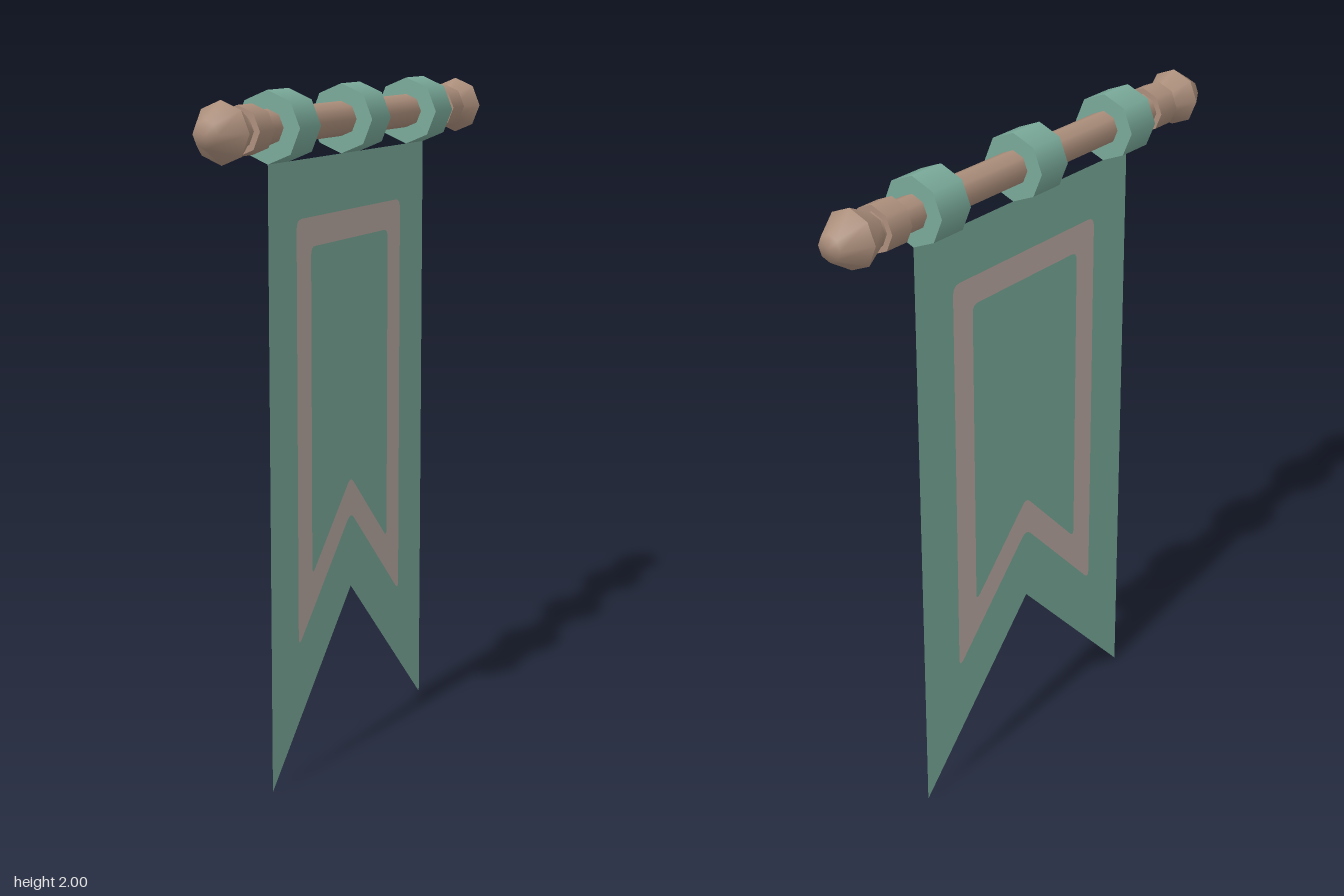
import * as THREE from 'three';

const green = new THREE.MeshStandardMaterial({ color: 0x79a999, side: THREE.DoubleSide });
green.name = 'green cloth';
const rose = new THREE.MeshStandardMaterial({ color: 0xb8a8a0, side: THREE.DoubleSide });
rose.name = 'pale trim';
const wood = new THREE.MeshStandardMaterial({ color: 0xab8e7b });
wood.name = 'brown wood';

const SIDES = 8;
const POLE_Y = 1.9;

// Swallow-tailed outline with softly rounded corners
function tailShape(half, top, tip, notch, r = 0) {
  const pts = [[-half, top], [-half, tip], [0, notch], [half, tip], [half, top]]
    .map(([x, y]) => new THREE.Vector2(x, y));
  if (!r) return new THREE.Shape(pts);
  const shape = new THREE.Shape();
  pts.forEach((p, i) => {
    const prev = pts[(i + pts.length - 1) % pts.length];
    const next = pts[(i + 1) % pts.length];
    const a = p.clone().add(prev.clone().sub(p).setLength(r));
    const b = p.clone().add(next.clone().sub(p).setLength(r));
    if (i === 0) shape.moveTo(a.x, a.y);
    else shape.lineTo(a.x, a.y);
    shape.quadraticCurveTo(p.x, p.y, b.x, b.y);
  });
  shape.closePath();
  return shape;
}

export function createModel() {
  const model = new THREE.Group();
  model.name = 'hangingBanner';

  const add = (parent, name, geometry, material) => {
    const mesh = new THREE.Mesh(geometry, material);
    mesh.name = name;
    parent.add(mesh);
    return mesh;
  };

  // Flat cloth in the x = 0 plane: border, trim band and centre fit together edge to edge
  const trimOuter = () => tailShape(0.33, 1.635, 0.39, 0.72, 0.03);
  const trimInner = () => tailShape(0.245, 1.55, 0.585, 0.83, 0.025);
  const border = tailShape(0.49, 1.8, 0, 0.49);
  border.holes.push(trimOuter());
  const band = trimOuter();
  band.holes.push(trimInner());
  const flat = (shape) => new THREE.ShapeGeometry(shape, 4).rotateY(Math.PI / 2);
  add(model, 'clothBorder', flat(border), green);
  add(model, 'clothTrim', flat(band), rose);
  add(model, 'clothCentre', flat(trimInner()), green);

  // Pole and everything threaded on it, running along z
  const rod = (r, length) => new THREE.CylinderGeometry(r, r, length, SIDES).rotateX(Math.PI / 2);
  const rail = new THREE.Group();
  rail.name = 'rail';
  rail.position.y = POLE_Y;
  model.add(rail);
  add(rail, 'pole', rod(0.05, 1.32), wood);
  for (const z of [-0.43, 0, 0.43]) {
    add(rail, 'hangingLoop', rod(0.1, 0.12), green).position.z = z;
  }

  // Collar and faceted finial on each end
  const lathe = (pts) => new THREE.LatheGeometry(
    pts.map(([r, z]) => new THREE.Vector2(r, z)), SIDES).rotateX(Math.PI / 2);
  for (const angle of [0, Math.PI]) {
    const end = new THREE.Group();
    end.name = 'poleEnd';
    end.rotation.y = angle;
    rail.add(end);
    add(end, 'collar', rod(0.068, 0.08), wood).position.z = 0.61;
    add(end, 'finialBase', lathe([[0.045, 0.645], [0.085, 0.733]]), wood);
    add(end, 'finialTip', lathe([[0.085, 0.733], [0.038, 0.813], [0, 0.813]]), wood);
  }

  return model;
}
